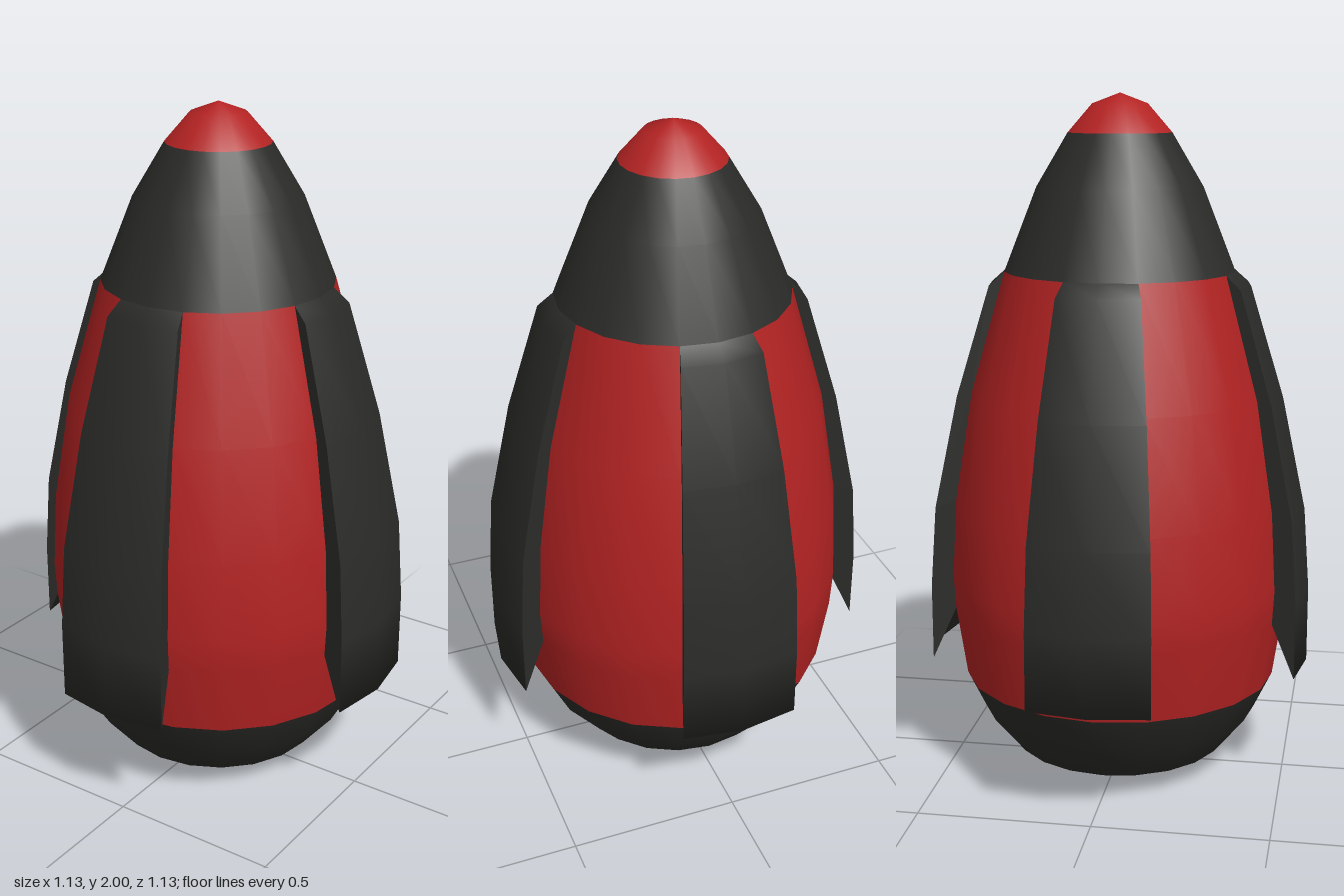
import * as THREE from 'three';

const STEP = Math.PI / 10; // body has 20 sides
const red = new THREE.MeshStandardMaterial({ color: 0xb22222 });
const dark = new THREE.MeshStandardMaterial({ color: 0x2b2b29 });
const darkThin = new THREE.MeshStandardMaterial({ color: 0x2b2b29, side: THREE.DoubleSide });

const toPoints = (list) => list.map(([r, y]) => new THREE.Vector2(r, y));

function add(parent, name, geometry, material) {
  const mesh = new THREE.Mesh(geometry, material);
  mesh.name = name;
  parent.add(mesh);
  return mesh;
}

// Body radii and heights, bottom to top
const base = [[0.165, 0], [0.315, 0.07], [0.41, 0.185], [0.463, 0.295]];
const waist = [[0.463, 0.295], [0.494, 0.5], [0.5, 0.6], [0.487, 0.83], [0.435, 1.15], [0.335, 1.5]];
const shoulder = [[0.335, 1.5], [0.24, 1.74], [0.15, 1.89]];
const nose = [[0.15, 1.89], [0.08, 1.97], [0, 2]];

// Fin: slanted underside, then the outer skin up to the shoulder
const finSkin = [[0.494, 0.5], [0.565, 0.345], [0.565, 0.57], [0.548, 0.81], [0.478, 1.14], [0.38, 1.46], [0.335, 1.5]];
const finInner = [[0.435, 1.15], [0.487, 0.83], [0.5, 0.6]];

function makeFin() {
  const fin = new THREE.Group();
  add(fin, 'finSkin', new THREE.LatheGeometry(toPoints(finSkin), 2, -STEP, 2 * STEP), dark);
  // Flat radial cheeks closing both edges
  const cheek = new THREE.ShapeGeometry(new THREE.Shape(toPoints([...finSkin, ...finInner])));
  for (const side of [-1, 1]) {
    add(fin, 'finCheek', cheek, darkThin).rotation.y = side * STEP - Math.PI / 2;
  }
  return fin;
}

export function createModel() {
  const model = new THREE.Group();
  model.name = 'finnedCapsule';

  // Body bands
  const bands = { base: [base, dark], waist: [waist, red], shoulder: [shoulder, dark], noseCap: [nose, red] };
  for (const [name, [profile, material]] of Object.entries(bands)) {
    add(model, name, new THREE.LatheGeometry(toPoints(profile), 20), material);
  }

  // Bottom disc
  add(model, 'bottomDisc', new THREE.CircleGeometry(0.165, 20), red).rotation.x = Math.PI / 2;

  // Four fins around the body
  for (let i = 0; i < 4; i++) {
    const fin = makeFin();
    fin.name = 'fin' + (i + 1);
    fin.rotation.y = i * Math.PI / 2;
    model.add(fin);
  }
  return model;
}
